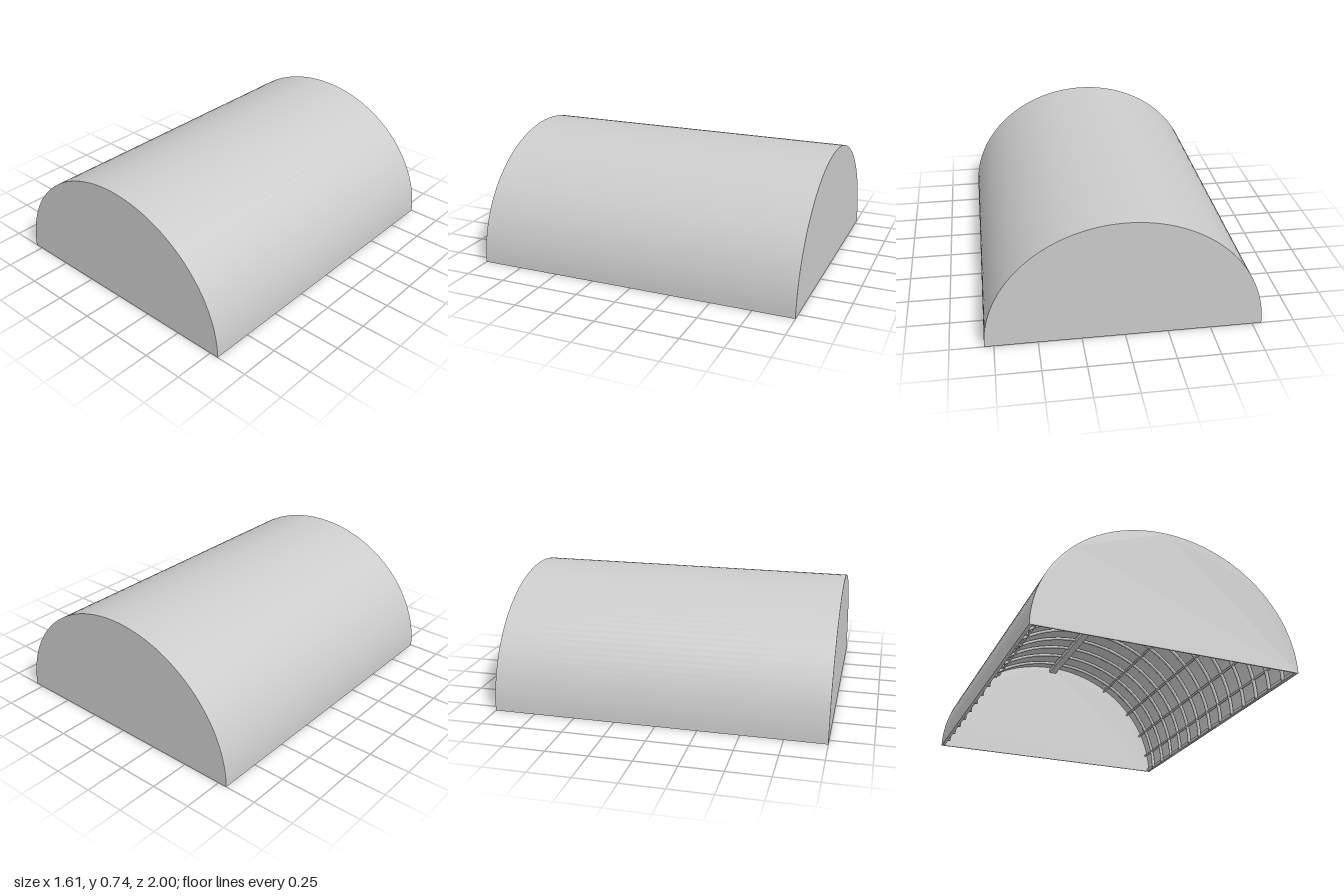
import * as THREE from 'three';
import { toCreasedNormals } from 'three/addons/utils/BufferGeometryUtils.js';

const RX = 0.805, RY = 0.74, HALF = 1, SKIN = 0.008;

export function createModel() {
  const group = new THREE.Group();
  const material = new THREE.MeshStandardMaterial({ color: 0xcccccc });

  const add = (name, geometry, x = 0, y = 0, z = 0, parent = group) => {
    const mesh = new THREE.Mesh(geometry, material);
    mesh.name = name;
    mesh.position.set(x, y, z);
    parent.add(mesh);
    return mesh;
  };
  const extrude = (shape, depth) => toCreasedNormals(new THREE.ExtrudeGeometry(shape,
    { depth, bevelEnabled: false, curveSegments: 32 }), 0.5);

  // Arched cover sheet, open underneath
  const arch = new THREE.Shape();
  arch.absellipse(0, 0, RX, RY, 0, Math.PI, false);
  arch.lineTo(-RX + SKIN, 0);
  arch.absellipse(0, 0, RX - SKIN, RY - SKIN, Math.PI, 0, true);
  arch.closePath();
  add('coverSheet', extrude(arch, 2 * (HALF - SKIN)), 0, 0, -HALF + SKIN);

  // Flat end walls
  const wall = new THREE.Shape();
  wall.absellipse(0, 0, RX, RY, 0, Math.PI, false);
  wall.closePath();
  const wallGeometry = extrude(wall, SKIN);
  add('frontWall', wallGeometry, 0, 0, HALF - SKIN);
  add('backWall', wallGeometry, 0, 0, -HALF);

  // Evenly spaced tubular hoops, closed at the feet
  const inset = 0.024, tube = 0.011, hoops = 13, spacing = 0.146;
  const hx = RX - inset, hy = RY - inset;
  class HoopCurve extends THREE.Curve {
    getPoint(t, target = new THREE.Vector3()) {
      return target.set(hx * Math.cos(Math.PI * t), hy * Math.sin(Math.PI * t), 0);
    }
  }
  const hoopGeometry = new THREE.TubeGeometry(new HoopCurve(), 48, tube, 8);
  const footGeometry = new THREE.CircleGeometry(tube, 8).rotateX(Math.PI / 2);
  for (let i = 0; i < hoops; i++) {
    const hoop = new THREE.Group();
    hoop.name = 'hoop';
    hoop.position.z = (i - (hoops - 1) / 2) * spacing;
    add('hoopTube', hoopGeometry, 0, 0, 0, hoop);
    for (const side of [-1, 1]) add('hoopFoot', footGeometry, side * hx, 0, 0, hoop);
    group.add(hoop);
  }

  // Lengthwise purlins on both slopes
  const length = 2 * (HALF - SKIN);
  const purlinGeometry = new THREE.CylinderGeometry(0.007, 0.007, length, 8).rotateX(Math.PI / 2);
  for (const side of [-1, 1]) {
    for (const height of [0.84, 0.61, 0.385, 0.17]) {
      const across = Math.sqrt(1 - height * height);
      add('purlin', purlinGeometry, side * hx * across, hy * height, 0);
    }
    // Base rail between the cover and the hoop feet
    add('baseRail', new THREE.BoxGeometry(0.012, 0.02, length), side * (RX - SKIN - 0.006), 0.011, 0);
  }

  // Ridge beam under the crown
  add('ridgeBeam', new THREE.BoxGeometry(0.05, 0.03, length), 0, hy - 0.01, 0);

  return group;
}
